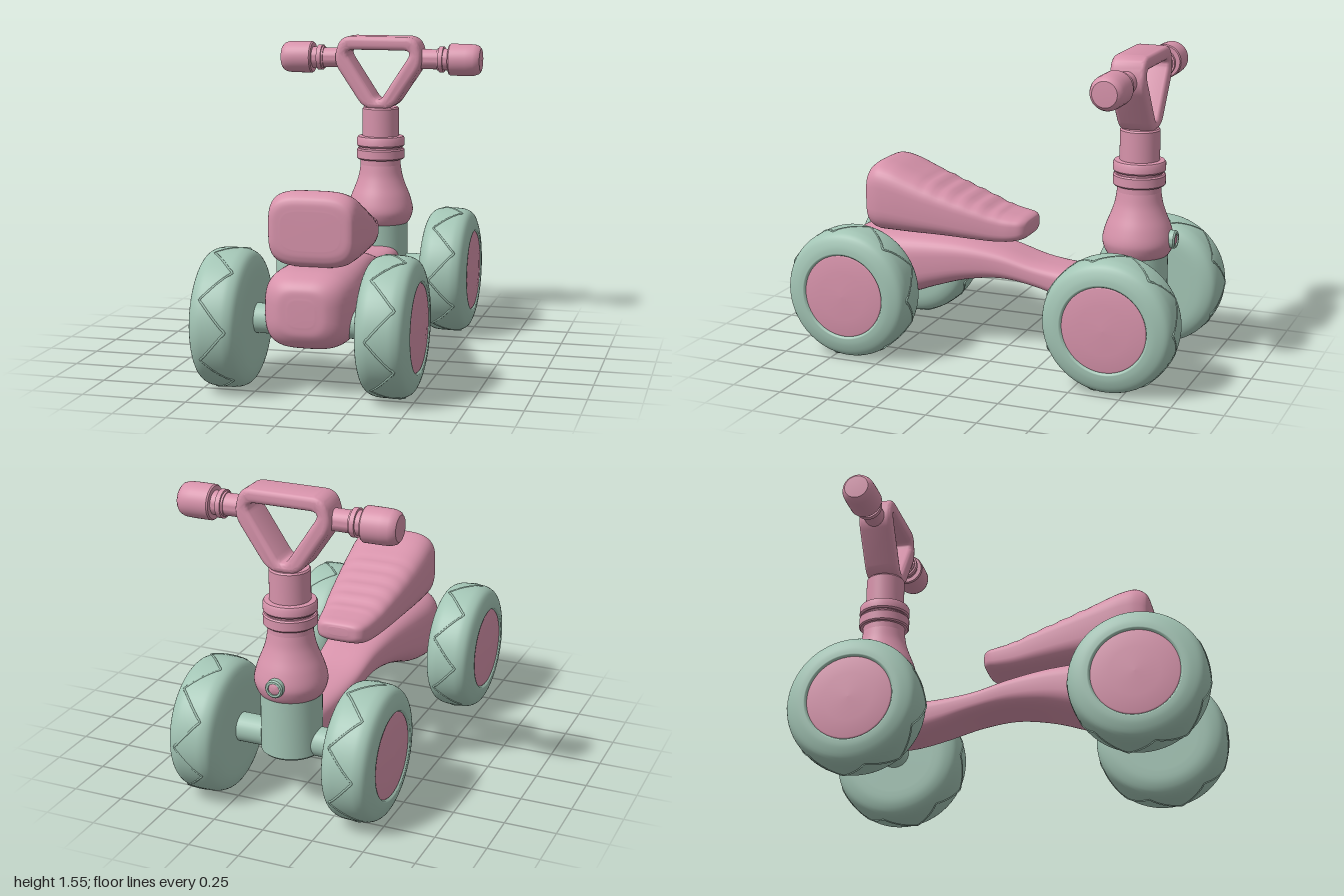
import * as THREE from 'three';
import { toCreasedNormals } from 'three/addons/utils/BufferGeometryUtils.js';

const pink = new THREE.MeshStandardMaterial({ name: 'dustyPink', color: 0xd793ab });
const green = new THREE.MeshStandardMaterial({ name: 'sageGreen', color: 0xa3c5b5 });

function add(parent, name, geometry, material, x = 0, y = 0, z = 0) {
  const mesh = new THREE.Mesh(geometry, material);
  mesh.name = name;
  mesh.position.set(x, y, z);
  parent.add(mesh);
  return mesh;
}

const v2 = (pts) => pts.map(([x, y]) => new THREE.Vector2(x, y));

// Lathe with crisp edges where the profile turns sharply
const turned = (pts, sides = 40) => toCreasedNormals(new THREE.LatheGeometry(v2(pts), sides), 0.6);

// Skin over squarish sections [z, bottom, top, halfWidth], listed from +z to -z
function loft(sections, power, ripple = 0) {
  const heights = new THREE.CatmullRomCurve3(sections.map(([z, b, t]) => new THREE.Vector3(z, b, t)));
  const widths = new THREE.CatmullRomCurve3(sections.map(([z, , , w]) => new THREE.Vector3(z, w, 0)));
  const rings = 96, sides = 48, pos = [], index = [];
  const soft = (v) => Math.sign(v) * Math.abs(v) ** (2 / power);
  for (let i = 0; i <= rings; i++) {
    const { x: z, y: b, z: t } = heights.getPoint(i / rings);
    const w = widths.getPoint(i / rings).y;
    const wave = z > 0 && z < 0.42 ? ripple * Math.sin(z * 75) : 0;
    for (let j = 0; j < sides; j++) {
      const a = (j / sides) * Math.PI * 2;
      const s = soft(Math.sin(a));
      pos.push(w * soft(Math.cos(a)), (b + t) / 2 + ((t - b) / 2) * s + wave * Math.max(0, Math.sin(a)) ** 2, z);
    }
  }
  for (let i = 0; i < rings; i++) {
    for (let j = 0; j < sides; j++) {
      const k = (j + 1) % sides;
      const a = i * sides + j, c = i * sides + k;
      index.push(a, a + sides, c, c, a + sides, c + sides);
    }
  }
  // End caps
  const last = rings * sides;
  for (const [s, base] of [[sections[0], 0], [sections.at(-1), last]]) {
    const centre = pos.length / 3;
    pos.push(0, (s[1] + s[2]) / 2, s[0]);
    for (let j = 0; j < sides; j++) {
      const k = (j + 1) % sides;
      index.push(centre, base + (base ? k : j), base + (base ? j : k));
    }
  }
  const g = new THREE.BufferGeometry();
  g.setAttribute('position', new THREE.Float32BufferAttribute(pos, 3));
  g.setIndex(index);
  g.computeVertexNormals();
  return g;
}

// Closed polygon with corners rounded by distance r
function roundedPolygon(path, pts, r) {
  const p = v2(pts);
  p.forEach((c, i) => {
    const prev = p[(i + p.length - 1) % p.length], next = p[(i + 1) % p.length];
    const a = c.clone().add(prev.clone().sub(c).setLength(r));
    const b = c.clone().add(next.clone().sub(c).setLength(r));
    if (i) path.lineTo(a.x, a.y); else path.moveTo(a.x, a.y);
    path.quadraticCurveTo(c.x, c.y, b.x, b.y);
  });
  path.closePath();
  return path;
}

// Thin raised zigzag running round the tyre; peaks point along +y
function zigzagTread() {
  const pts = [], zigs = 14, steps = 8;
  for (let i = 0; i < zigs * steps; i++) {
    const f = (i % (2 * steps)) / steps;
    const y = -0.055 + 0.125 * (f < 1 ? f : 2 - f);
    const r = 0.322 - 0.004 * (Math.abs(y) / 0.07) ** 2;
    const a = (i / (zigs * steps)) * Math.PI * 2;
    pts.push(new THREE.Vector3(r * Math.sin(a), y, r * Math.cos(a)));
  }
  const curve = new THREE.CatmullRomCurve3(pts, true);
  return new THREE.TubeGeometry(curve, zigs * steps * 2, 0.006, 5, true);
}

function createWheel(side) {
  const wheel = new THREE.Group();
  const wall = new THREE.SplineCurve(v2([
    [0.19, -0.125], [0.25, -0.121], [0.297, -0.102], [0.318, -0.07], [0.324, -0.03],
    [0.324, 0.03], [0.318, 0.07], [0.297, 0.102], [0.25, 0.121], [0.212, 0.125],
  ])).getPoints(36);
  const profile = [new THREE.Vector2(0, -0.125), ...wall, new THREE.Vector2(0.204, 0.112)];
  add(wheel, 'tyre', new THREE.LatheGeometry(profile, 64), green);
  add(wheel, 'hubDisc', new THREE.LatheGeometry(v2([[0.206, 0.115], [0.2, 0.12], [0.12, 0.128], [0, 0.131]]), 64), pink);
  const tread = add(wheel, 'tread', zigzagTread(), green);
  if (side < 0) tread.rotation.x = Math.PI;
  wheel.rotation.z = -side * Math.PI / 2;
  return wheel;
}

export function createModel() {
  const model = new THREE.Group();
  model.name = 'rideOnBike';
  const frontZ = -0.67;

  // Wheels and axles
  for (const z of [0.67, frontZ]) {
    const place = z > 0 ? 'rear' : 'front';
    for (const side of [1, -1]) {
      const wheel = createWheel(side);
      wheel.name = place + (side > 0 ? 'LeftWheel' : 'RightWheel');
      wheel.position.set(side * 0.385, 0.328, z);
      model.add(wheel);
    }
    add(model, place + 'Axle', new THREE.CylinderGeometry(0.07, 0.07, 0.54, 32), green, 0, 0.33, z).rotation.z = Math.PI / 2;
  }

  // Body beam
  add(model, 'body', loft([
    [0.846, 0.34, 0.46, 0.06], [0.838, 0.29, 0.51, 0.12], [0.8, 0.24, 0.55, 0.172],
    [0.74, 0.217, 0.572, 0.202], [0.65, 0.215, 0.58, 0.216], [0.5, 0.245, 0.58, 0.208],
    [0.35, 0.3, 0.575, 0.19], [0.18, 0.352, 0.562, 0.168], [0, 0.375, 0.53, 0.145],
    [-0.18, 0.352, 0.482, 0.135], [-0.35, 0.302, 0.464, 0.132], [-0.5, 0.268, 0.46, 0.128],
    [-0.62, 0.262, 0.455, 0.115], [-0.7, 0.262, 0.45, 0.09], [-0.75, 0.27, 0.44, 0.04],
  ], 3.2), pink);

  // Seat
  add(model, 'seat', loft([
    [0.7, 0.66, 0.84, 0.14], [0.696, 0.625, 0.88, 0.18], [0.682, 0.595, 0.905, 0.2],
    [0.64, 0.575, 0.928, 0.214], [0.57, 0.573, 0.918, 0.217], [0.45, 0.572, 0.872, 0.21],
    [0.3, 0.572, 0.815, 0.195], [0.15, 0.567, 0.763, 0.175], [0.02, 0.565, 0.718, 0.152],
    [-0.06, 0.573, 0.703, 0.137], [-0.105, 0.588, 0.696, 0.12], [-0.125, 0.605, 0.685, 0.095],
    [-0.132, 0.63, 0.67, 0.05],
  ], 3.6, 0.005), pink);

  // Steering column
  add(model, 'forkHub', turned([[0, 0.27], [0.135, 0.27], [0.145, 0.28], [0.145, 0.6]]), green, 0, 0, frontZ);
  const bulb = new THREE.SplineCurve(v2([
    [0.1, 0.55], [0.145, 0.565], [0.168, 0.61], [0.171, 0.65], [0.155, 0.71],
    [0.131, 0.77], [0.115, 0.82], [0.106, 0.875],
  ])).getPoints(32);
  add(model, 'headBulb', new THREE.LatheGeometry([new THREE.Vector2(0, 0.55), ...bulb], 48), pink, 0, 0, frontZ);
  add(model, 'collarsAndPost', turned([
    [0.106, 0.87], [0.106, 0.905], [0.12, 0.905], [0.126, 0.912], [0.126, 0.955], [0.12, 0.962],
    [0.112, 0.962], [0.112, 0.972], [0.12, 0.972], [0.126, 0.98], [0.126, 1.015], [0.12, 1.025],
    [0.096, 1.028], [0.096, 1.172], [0.09, 1.18], [0, 1.18],
  ], 48), pink, 0, 0, frontZ);

  // Front badge
  const badgeRim = add(model, 'badgeRim', turned([[0.044, -0.05], [0.044, 0.005], [0.038, 0.012], [0.028, 0.012], [0.028, 0.004]]), green, 0, 0.65, -0.85);
  const badgeFace = add(model, 'badgeFace', turned([[0.029, 0.004], [0.02, 0.009], [0, 0.01]]), pink, 0, 0.65, -0.85);
  badgeRim.rotation.x = badgeFace.rotation.x = -Math.PI / 2;

  // Triangular handle frame
  const frame = roundedPolygon(new THREE.Shape(), [
    [-0.075, 1.172], [0.075, 1.172], [0.242, 1.42], [0.205, 1.552], [-0.205, 1.552], [-0.242, 1.42],
  ], 0.06);
  frame.holes.push(roundedPolygon(new THREE.Path(), [[0, 1.2], [-0.185, 1.482], [0.185, 1.482]], 0.055));
  const frameGeo = new THREE.ExtrudeGeometry(frame, {
    depth: 0.122, bevelThickness: 0.024, bevelSize: 0.024, bevelOffset: -0.024, bevelSegments: 4, curveSegments: 10,
  });
  add(model, 'handleFrame', toCreasedNormals(frameGeo, 0.7), pink, 0, 0, frontZ - 0.061);

  // Handlebar with ring and grip on each side
  for (const side of [1, -1]) {
    const bar = add(model, side > 0 ? 'leftGrip' : 'rightGrip', turned([
      [0.052, 0.19], [0.052, 0.305], [0.058, 0.305], [0.058, 0.315], [0.067, 0.315], [0.067, 0.338], [0.056, 0.338],
      [0.056, 0.367], [0.078, 0.367], [0.083, 0.374], [0.083, 0.46], [0.081, 0.5], [0.073, 0.522], [0.06, 0.533], [0, 0.536],
    ]), pink, 0, 1.435, frontZ);
    bar.rotation.z = -side * Math.PI / 2;
  }
  return model;
}
